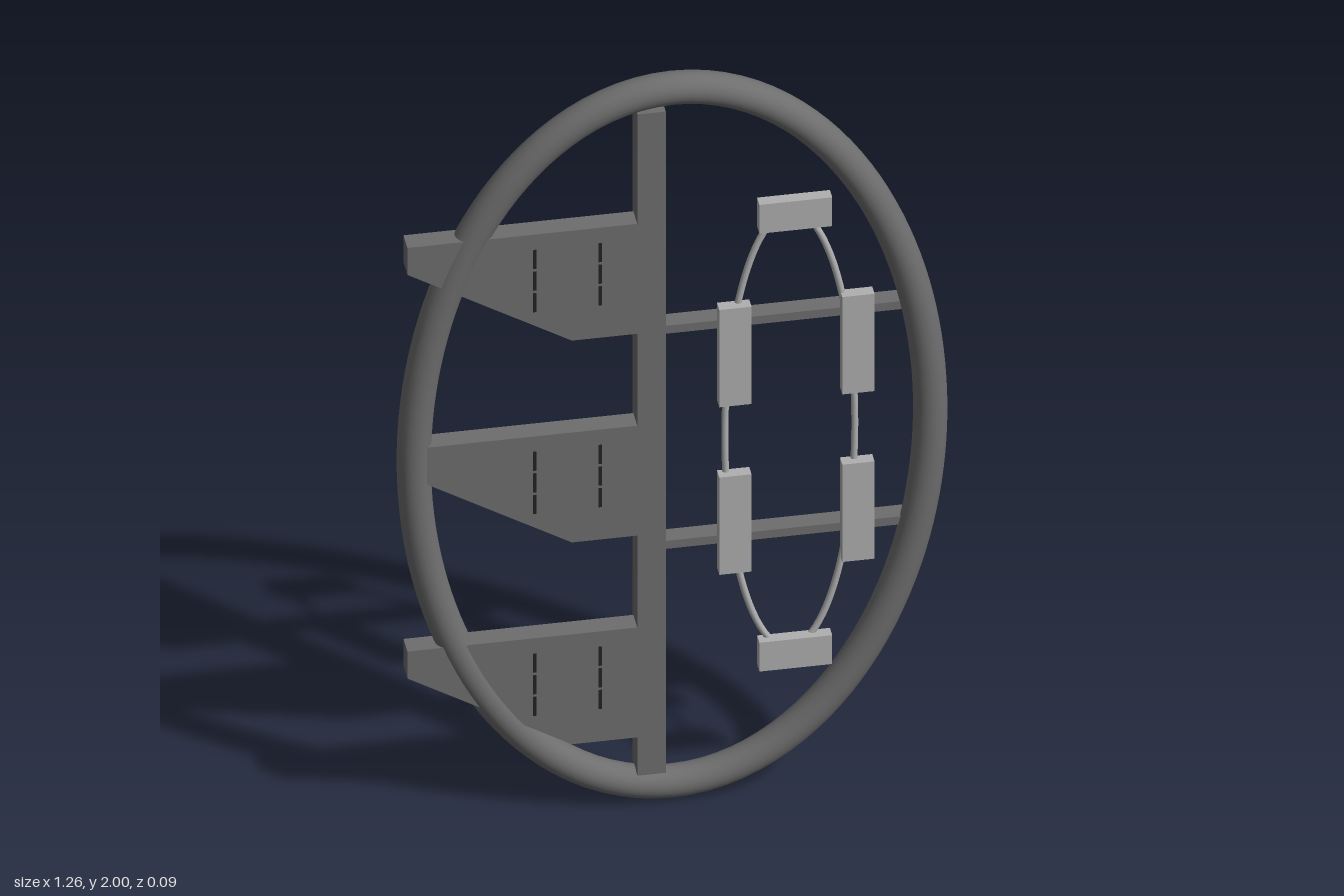
import * as THREE from 'three';

const mat = (name, color) => {
  const m = new THREE.MeshStandardMaterial({ color });
  m.name = name;
  return m;
};

class Ellipse3 extends THREE.Curve {
  constructor(a, b) {
    super();
    this.a = a;
    this.b = b;
  }
  getPoint(t, target = new THREE.Vector3()) {
    const u = t * Math.PI * 2;
    return target.set(this.a * Math.cos(u), this.b * Math.sin(u), 0);
  }
}

export function createModel() {
  const model = new THREE.Group();
  const steel = mat('darkGrey', 0x6e6e6e);
  const light = mat('lightGrey', 0xb0b0b0);
  const black = mat('slotBlack', 0x222222);

  const add = (name, geometry, material, x = 0, y = 0, z = 0) => {
    const mesh = new THREE.Mesh(geometry, material);
    mesh.name = name;
    mesh.position.set(x, y, z);
    model.add(mesh);
    return mesh;
  };
  // Box given by its x, y and z ranges
  const box = (name, material, [x0, x1], [y0, y1], [z0, z1]) =>
    add(name, new THREE.BoxGeometry(x1 - x0, y1 - y0, z1 - z0), material,
      (x0 + x1) / 2, (y0 + y1) / 2, (z0 + z1) / 2);
  const hoop = (a, b, r, sides) => new THREE.TubeGeometry(new Ellipse3(a, b), 128, r, sides, true);

  // Large oval frame and upright post
  add('outerRing', hoop(0.592, 0.961, 0.039, 24), steel, 0, 1, 0);
  box('post', steel, [-0.085, -0.02], [0.085, 1.92], [-0.032, 0.032]);

  // Three tapered fins, each with two broken slots
  const fin = new THREE.Shape([
    [-0.08, 0], [-0.612, 0], [-0.612, -0.075], [-0.235, -0.305], [-0.08, -0.305],
  ].map(([x, y]) => new THREE.Vector2(x, y)));
  const finGeometry = new THREE.ExtrudeGeometry(fin, { depth: 0.05, bevelEnabled: false });
  for (const top of [1.615, 1.055, 0.495]) {
    add('fin', finGeometry, steel, 0, top, -0.02);
    for (const x of [-0.32, -0.17]) {
      for (let i = 0; i < 3; i++) {
        const y = top - 0.068 - i * 0.06;
        box('slot', black, [x - 0.004, x + 0.004], [y - 0.026, y + 0.026], [0.028, 0.032]);
      }
    }
  }

  // Horizontal rails behind the post
  for (const y of [1.291, 0.694]) {
    box('rail', steel, [-0.065, 0.575], [y - 0.011, y + 0.011], [-0.045, 0]);
  }

  // Slim inner hoop carrying six pads
  add('innerRing', hoop(0.149, 0.605, 0.008, 12), light, 0.267, 0.992, 0.017);
  const padZ = [0.012, 0.041];
  for (const y of [1.56, 0.345]) box('endPad', light, [0.193, 0.36], [y, y + 0.08], padZ);
  for (const x of [0.101, 0.383]) {
    for (const y of [1.09, 0.625]) box('sidePad', light, [x, x + 0.074], [y, y + 0.27], padZ);
  }
  return model;
}
